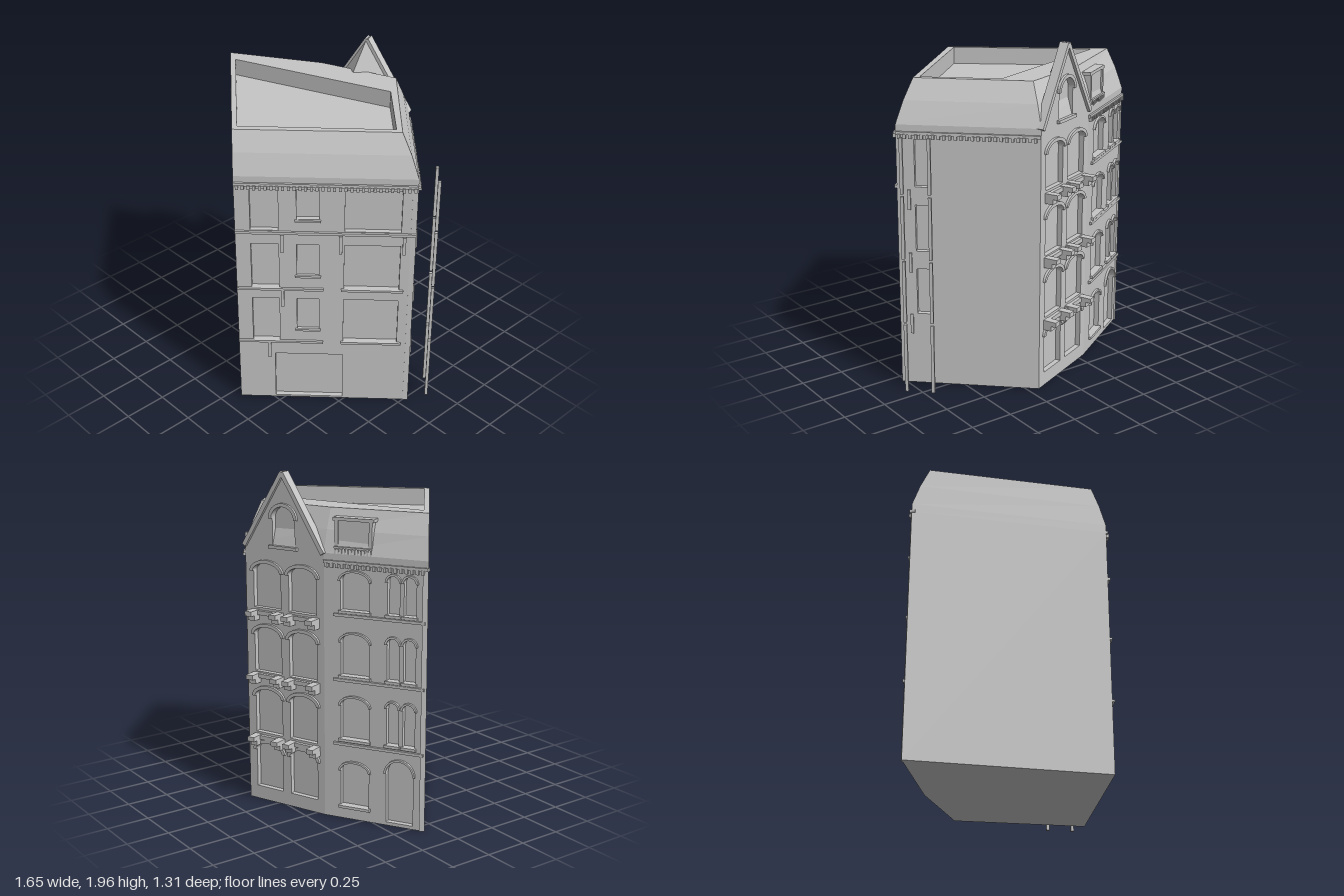
import * as THREE from 'three';
import { ConvexGeometry } from 'three/addons/geometries/ConvexGeometry.js';

const stone = new THREE.MeshStandardMaterial({ color: 0xc6c6c6, side: THREE.DoubleSide });
stone.name = 'grey stone';

// Footprint corners [x, z], counter-clockwise seen from above
const A = [0.06, 0.64], B = [0.77, -0.06], C = [0.19, -0.6], D = [-0.3, -0.4], E = [-0.82, -0.09];
const foot = [A, B, C, D, E];
const WALL = 1.48, DEPTH = 0.03, TOP = 1.77, DECK = 1.67;

function add(parent, geo, name, x = 0, y = 0, z = 0) {
  const m = new THREE.Mesh(geo, stone);
  m.name = name;
  m.position.set(x, y, z);
  parent.add(m);
  return m;
}

// Box given by its left, bottom and back edges
function block(parent, name, x, y, z, w, h, d) {
  return add(parent, new THREE.BoxGeometry(w, h, d), name, x + w / 2, y + h / 2, z + d / 2);
}

// Side faces between two outlines, each at its own height
function band(lower, y0, upper, y1) {
  const p = [];
  lower.forEach((a, i) => {
    const j = (i + 1) % lower.length, b = lower[j], c = upper[j], d = upper[i];
    p.push(a[0], y0, a[1], b[0], y0, b[1], c[0], y1, c[1]);
    p.push(a[0], y0, a[1], c[0], y1, c[1], d[0], y1, d[1]);
  });
  const g = new THREE.BufferGeometry();
  g.setAttribute('position', new THREE.Float32BufferAttribute(p, 3));
  g.computeVertexNormals();
  return g;
}

// Horizontal plate with an optional hole
function plate(outline, hole) {
  const pts = (o) => o.map(([x, z]) => new THREE.Vector2(x, -z));
  const s = new THREE.Shape(pts(outline));
  if (hole) s.holes.push(new THREE.Path(pts(hole)));
  return new THREE.ShapeGeometry(s).rotateX(-Math.PI / 2);
}

// Move each edge of the outline inwards by d
function inset(poly, d) {
  const n = poly.length;
  return poly.map((p, i) => {
    const unit = (a, b) => {
      const l = Math.hypot(b[0] - a[0], b[1] - a[1]);
      return [(b[0] - a[0]) / l, (b[1] - a[1]) / l];
    };
    const u = unit(poly[(i + n - 1) % n], p), v = unit(p, poly[(i + 1) % n]);
    const k = d / (1 + u[0] * v[0] + u[1] * v[1]);
    return [p[0] + (u[1] + v[1]) * k, p[1] - (u[0] + v[0]) * k];
  });
}

// Opening: [left, right, sill, top, arch rise]
function opening([x0, x1, y0, y1, rise = 0]) {
  const p = new THREE.Path();
  p.moveTo(x0, y0);
  p.lineTo(x1, y0);
  p.lineTo(x1, y1 - rise);
  if (rise) p.absellipse((x0 + x1) / 2, y1 - rise, (x1 - x0) / 2, rise, 0, Math.PI, false, 0);
  else p.lineTo(x0, y1);
  p.lineTo(x0, y0);
  return p;
}

// Wall panel with recessed openings; local x runs along the wall, z points outwards
function facade(root, name, P, Q, openings, outline) {
  const g = new THREE.Group();
  g.name = name;
  g.position.set(P[0], 0, P[1]);
  g.rotation.y = Math.atan2(P[1] - Q[1], Q[0] - P[0]);
  root.add(g);
  const L = Math.hypot(Q[0] - P[0], Q[1] - P[1]);
  const pts = outline || [[0, 0], [L, 0], [L, WALL], [0, WALL]];
  const s = new THREE.Shape(pts.map((p) => new THREE.Vector2(...p)));
  openings.forEach((o) => s.holes.push(opening(o)));
  const geo = new THREE.ExtrudeGeometry(s, { depth: DEPTH, bevelEnabled: false, curveSegments: 10 });
  add(g, geo, name + 'Wall', 0, 0, -DEPTH);
  return { g, L };
}

// Raised arch moulding over an opening
function hood(g, [x0, x1, , y1, rise], t = 0.02) {
  const cx = (x0 + x1) / 2, cy = y1 - rise, r = (x1 - x0) / 2, s = new THREE.Shape();
  s.absellipse(cx, cy, r + t, rise + t, 0, Math.PI, false, 0);
  s.absellipse(cx, cy, r, rise, Math.PI, 0, true, 0);
  s.closePath();
  add(g, new THREE.ExtrudeGeometry(s, { depth: 0.014, bevelEnabled: false, curveSegments: 10 }), 'archHood');
}

function cornice(g, L) {
  block(g, 'cornice', 0, WALL - 0.005, -0.02, L, 0.018, 0.032);
  for (let x = 0.012; x < L - 0.015; x += 0.031) block(g, 'dentil', x, 1.455, -0.005, 0.016, 0.025, 0.023);
}

export function createModel() {
  const root = new THREE.Group();
  root.name = 'cornerBuilding';

  // Inner core, seen as the back of each recess
  const core = inset(foot, DEPTH);
  add(root, band(core, 0, core, WALL), 'core');
  add(root, plate(foot).rotateX(Math.PI), 'base').geometry = plate(foot.map(([x, z]) => [x, -z])).rotateX(Math.PI);

  // Front facade with rectangular windows
  const cols = [[0.085, 0.24, 0], [0.34, 0.465, 0.075], [0.605, 0.915, 0]];
  const frontOpen = [[0.21, 0.605, 0.012, 0.33]];
  [[0.43, 0.73], [0.805, 1.1], [1.19, 1.452]].forEach(([y0, y1]) =>
    cols.forEach(([a, b, up]) => frontOpen.push([a, b, y0 + up, y1])));
  const front = facade(root, 'frontFacade', A, B, frontOpen);
  cornice(front.g, front.L);
  block(front.g, 'floorBand', 0, 1.17, 0, front.L, 0.016, 0.014);
  [0.418, 0.792].forEach((y) => {
    block(front.g, 'windowLedge', 0, y, 0, 0.49, 0.014, 0.014);
    block(front.g, 'windowLedge', 0.59, y, 0, 0.35, 0.014, 0.014);
  });
  [0.505, 0.88, 1.25].forEach((y) => block(front.g, 'sill', 0.33, y, 0, 0.145, 0.012, 0.012));
  [[0.25, 1.05], [0.575, 1.05], [0.925, 1.05], [0.25, 0.68], [0.17, 0.31]].forEach(([x, y]) =>
    block(front.g, 'wallBracket', x, y, 0, 0.018, 0.115, 0.014));

  // Side wall with narrow windows and two free-standing pipes
  const side = facade(root, 'sideWall', B, C, [0.43, 0.805, 1.18].map((y) => [0.1, 0.19, y, y + 0.27]));
  cornice(side.g, side.L);
  [0.31, 0.68, 1.05].forEach((y) => block(side.g, 'wallBracket', 0.06, y, 0, 0.016, 0.115, 0.012));
  [[0.7, -0.285], [0.81, -0.18]].forEach(([x, z]) =>
    [[0, 0.41], [0.425, 0.785], [0.8, 1.16], [1.175, 1.49]].forEach(([y0, y1]) => {
      const pipe = add(root, new THREE.BoxGeometry(0.018, y1 - y0, 0.018), 'pipe', x, (y0 + y1) / 2, z);
      pipe.rotation.y = Math.PI / 4;
    }));

  // Blank party wall
  facade(root, 'partyWall', E, A, []);

  // Gabled rear facade with paired arched windows
  const GL = Math.hypot(D[0] - C[0], D[1] - C[1]), EAVE = 1.53, PEAK = 1.955;
  const gableOpen = [];
  [[0.08, 0.36], [0.42, 0.69], [0.79, 1.06], [1.17, 1.43]].forEach(([y0, y1]) =>
    [[0.055, 0.24], [0.295, 0.48]].forEach(([a, b]) => gableOpen.push([a, b, y0, y1, 0.05])));
  const attic = [GL / 2 - 0.075, GL / 2 + 0.075, 1.54, 1.76, 0.07];
  const gable = facade(root, 'gableFacade', C, D, [...gableOpen, attic],
    [[0, 0], [GL, 0], [GL, EAVE], [GL / 2, PEAK], [0, EAVE]]);
  [...gableOpen, attic].forEach((o) => hood(gable.g, o));
  block(gable.g, 'atticSill', GL / 2 - 0.095, 1.522, 0, 0.19, 0.018, 0.018);
  [0.4, 0.775, 1.15].forEach((y) => {
    [0.055, 0.295].forEach((x) => block(gable.g, 'balconySill', x - 0.01, y - 0.02, 0, 0.205, 0.025, 0.02));
    [0.067, 0.232, 0.313, 0.475].forEach((x) => {
      block(gable.g, 'balconyBracketTop', x - 0.022, y - 0.02, 0, 0.045, 0.028, 0.08);
      block(gable.g, 'balconyBracketLower', x - 0.022, y - 0.05, 0, 0.045, 0.03, 0.05);
    });
  });
  // Gable roof and sloping edge trims
  add(gable.g, new ConvexGeometry([[0, 1.5, -DEPTH], [GL, 1.5, -DEPTH], [0, EAVE, -DEPTH], [GL, EAVE, -DEPTH],
    [GL / 2, PEAK, -DEPTH], [0.31, 1.76, -0.13], [0.26, 1.5, -0.13]].map((p) => new THREE.Vector3(...p))), 'gableRoof');
  const slope = Math.atan2(PEAK - EAVE, GL / 2), len = Math.hypot(PEAK - EAVE, GL / 2);
  [-1, 1].forEach((s) => {
    const trim = add(gable.g, new THREE.BoxGeometry(len, 0.025, 0.055), 'gableTrim',
      GL / 2 + s * GL / 4, (EAVE + PEAK) / 2 - 0.006, -0.01);
    trim.rotation.z = -s * slope;
  });

  // Rear facade: one wide arch and a pair of narrow arches per floor
  const rearOpen = [[0.1, 0.27, 0.08, 0.34, 0.05], [0.375, 0.535, 0.02, 0.39, 0.08]];
  [[0.48, 0.725], [0.85, 1.09], [1.22, 1.435]].forEach(([y0, y1]) => rearOpen.push(
    [0.1, 0.27, y0, y1, 0.05], [0.375, 0.445, y0, y1, 0.035], [0.47, 0.54, y0, y1, 0.035]));
  const RL = Math.hypot(E[0] - D[0], E[1] - D[1]) - 0.012;
  const rear = facade(root, 'rearFacade', D, E, rearOpen, [[0, 0], [RL, 0], [RL, WALL], [0, WALL]]);
  rearOpen.forEach((o) => hood(rear.g, o, 0.012));
  cornice(rear.g, rear.L);
  [0.44, 0.815, 1.185].forEach((y) => block(rear.g, 'floorBand', 0.06, y, 0, RL - 0.06, 0.016, 0.014));
  rearOpen.filter((o) => o[2] > 0.05).forEach(([a, b, y]) =>
    block(rear.g, 'sill', a - 0.01, y - 0.016, 0, b - a + 0.02, 0.016, 0.016));

  // Mansard roof with a sunken deck
  const eave = foot;
  const rim = [[0, 0.585], [0.645, -0.05], [0.17, -0.5], [-0.27, -0.33], [-0.745, -0.03]];
  const well = [[-0.01, 0.54], [0.6, -0.05], [0.27, -0.35], [-0.65, 0.01]];
  const mid = eave.map((p, i) => [p[0] * 0.55 + rim[i][0] * 0.45, p[1] * 0.55 + rim[i][1] * 0.45]);
  add(root, band(eave, WALL, eave, 1.53), 'roofBase');
  add(root, band(eave, 1.53, mid, 1.655), 'roofSlope');
  add(root, band(mid, 1.655, rim, TOP), 'roofSlope');
  add(root, plate(rim, well), 'roofRim', 0, TOP, 0);
  add(root, band(well, TOP, well, DECK), 'parapetInside');
  add(root, plate(well), 'roofDeck', 0, DECK, 0);

  // Dormer with a small balustrade
  block(rear.g, 'dormer', 0.06, 1.53, -0.13, 0.22, 0.18, 0.11);
  block(rear.g, 'dormerRoof', 0.05, 1.71, -0.135, 0.24, 0.018, 0.125);
  block(rear.g, 'dormerFrame', 0.06, 1.57, -0.02, 0.02, 0.14, 0.01);
  block(rear.g, 'dormerFrame', 0.26, 1.57, -0.02, 0.02, 0.14, 0.01);
  block(rear.g, 'balustradeRail', 0.06, 1.56, -0.01, 0.22, 0.01, 0.012);
  for (let i = 0; i < 12; i++) block(rear.g, 'baluster', 0.062 + i * 0.019, 1.495, -0.008, 0.007, 0.065, 0.008);

  return root;
}
